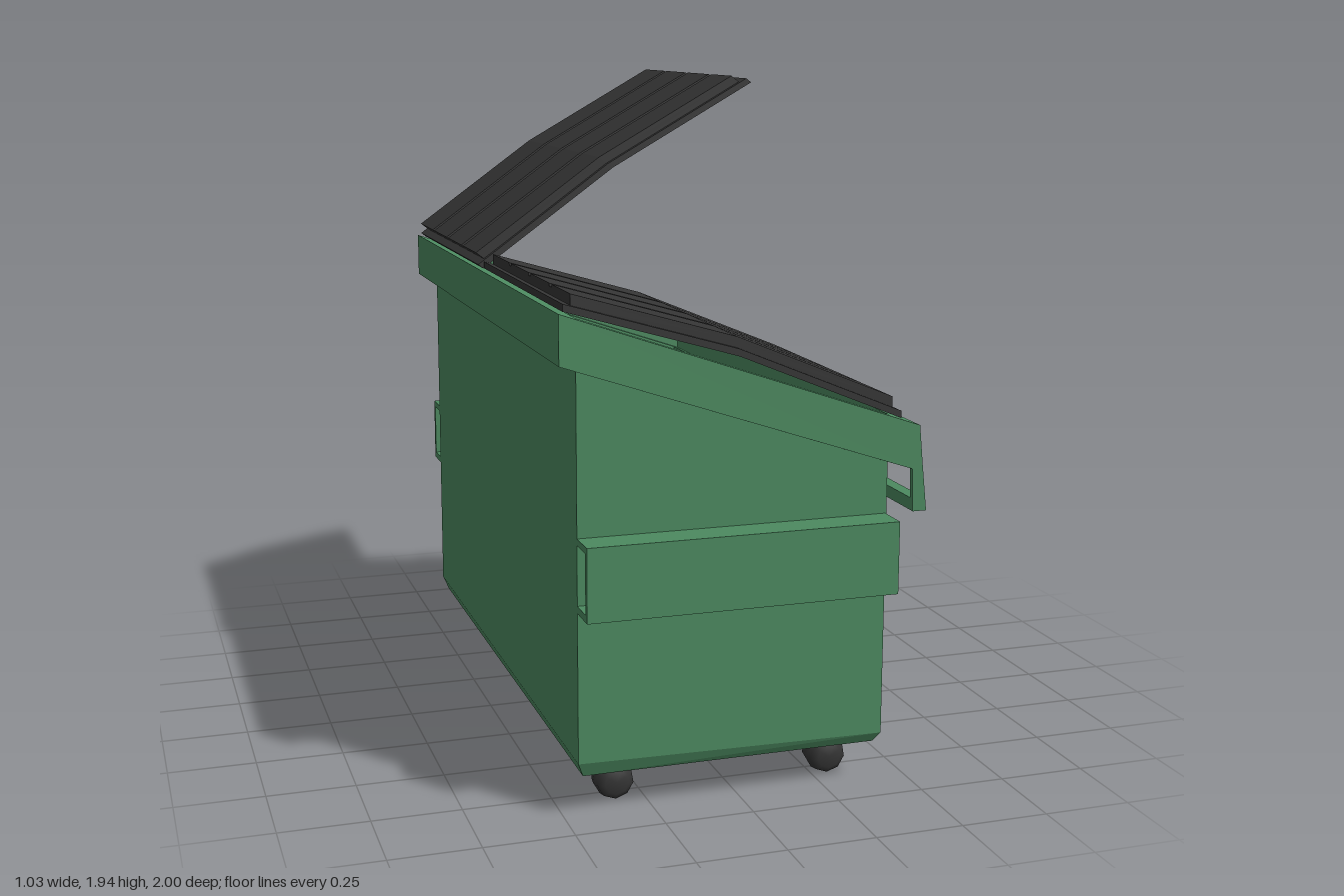
import * as THREE from 'three';

const green = new THREE.MeshStandardMaterial({ color: 0x4c8a60 });
green.name = 'green paint';
const dark = new THREE.MeshStandardMaterial({ color: 0x353535 });
dark.name = 'dark plastic';
const yellow = new THREE.MeshStandardMaterial({ color: 0x8c8a2c });
yellow.name = 'yellow stain';

function add(parent, name, geometry, material) {
  const mesh = new THREE.Mesh(geometry, material);
  mesh.name = name;
  parent.add(mesh);
  return mesh;
}

function box(parent, name, material, x0, x1, y0, y1, z0, z1) {
  const g = new THREE.BoxGeometry(x1 - x0, y1 - y0, z1 - z0);
  g.translate((x0 + x1) / 2, (y0 + y1) / 2, (z0 + z1) / 2);
  return add(parent, name, g, material);
}

const shapeOf = (pts) => new THREE.Shape(pts.map(([x, y]) => new THREE.Vector2(x, y)));

// Side profile (x, y) extruded from z0 to z1
function profile(pts, z0, z1) {
  const g = new THREE.ExtrudeGeometry(shapeOf(pts), { depth: z1 - z0, bevelEnabled: false });
  return g.translate(0, 0, z0);
}

// Rectangular wall ring whose bottom and top heights follow x
function wallRing(outer, inner, bottom, top, flare = 0) {
  const rect = ([x0, x1, z]) => [[x0, -z], [x1, -z], [x1, z], [x0, z]];
  const s = shapeOf(rect(outer));
  s.holes.push(shapeOf(rect(inner)));
  const g = new THREE.ExtrudeGeometry(s, { depth: 1, bevelEnabled: false });
  g.rotateX(-Math.PI / 2);
  const p = g.attributes.position;
  for (let i = 0; i < p.count; i++) {
    const x = p.getX(i), low = p.getY(i) < 0.5;
    p.setY(i, low ? bottom(x) : top(x));
    if (low && Math.abs(x - outer[1]) < 1e-4) p.setX(i, x + flare);
  }
  g.computeVertexNormals();
  return g;
}

// Thin patch on the +x wall, drawn as (-z, y)
function patch(pts) {
  const g = new THREE.ExtrudeGeometry(shapeOf(pts), { depth: 0.006, bevelEnabled: false });
  return g.rotateY(Math.PI / 2).translate(0.414, 0, 0);
}

// Bent strip following a path, between two vertical offsets
const strip = (path, lo, hi, z0, z1) => profile(
  [...path.map(([x, y]) => [x, y + lo]), ...path.map(([x, y]) => [x, y + hi]).reverse()], z0, z1);

const PIVOT = [-0.49, 1.395];

// Lid with a flange, four raised panels and ribs underneath
function makeLid(name) {
  const lid = new THREE.Group();
  lid.name = name;
  const flange = [[-0.5, 1.38], [-0.02, 1.24], [0.45, 1.045]];
  const deck = [[-0.475, 1.373], [-0.02, 1.24], [0.43, 1.053]];
  const put = (n, g) => add(lid, n, g.translate(-PIVOT[0], -PIVOT[1], 0), dark);
  put('lidFlange', strip(flange, 0, 0.02, 0.005, 0.91));
  put('lidDeck', strip(deck, 0.018, 0.042, 0.02, 0.893));
  const seams = [0.02, 0.24, 0.467, 0.695, 0.893];
  for (let i = 0; i < 4; i++) {
    const a = seams[i] + (i > 0 ? 0.012 : 0), b = seams[i + 1] - (i < 3 ? 0.012 : 0);
    put('lidPanel', strip(deck, 0.04, 0.05, a, b));
    if (i > 0) put('lidRib', strip(deck, -0.006, 0.002, seams[i] - 0.012, seams[i] + 0.012));
  }
  lid.position.set(PIVOT[0], PIVOT[1], 0);
  return lid;
}

export function createModel() {
  const model = new THREE.Group();
  model.name = 'dumpster';

  // Hollow body with a sloping top
  const rimTop = (x) => 1.38 - 0.3465 * (x + 0.52);
  const rimBottom = (x) => 1.245 - 0.343 * (x + 0.52);
  const bodyBase = (x) => 0.15 - 0.015 * x;
  add(model, 'bodyWalls', wallRing([-0.465, 0.415, 0.905], [-0.445, 0.395, 0.885],
    bodyBase, (x) => rimBottom(x) + 0.02), green);

  // Bevelled bottom
  const base = new THREE.BoxGeometry(0.88, 1, 1.81).translate(-0.025, 0, 0).toNonIndexed();
  const p = base.attributes.position;
  for (let i = 0; i < p.count; i++) {
    const x = p.getX(i), z = p.getZ(i);
    if (p.getY(i) > 0) p.setY(i, bodyBase(x));
    else p.setXYZ(i, x - Math.sign(x) * 0.017, 0.115, z - Math.sign(z) * 0.017);
  }
  base.computeVertexNormals();
  add(model, 'bodyBottom', base, green);

  // Sloping rim
  add(model, 'rim', wallRing([-0.52, 0.49, 0.945], [-0.465, 0.415, 0.905],
    rimBottom, rimTop, 0.013), green);

  // Lifting bar below the low edge of the rim
  add(model, 'liftBar', profile([[0.475, 0.79], [0.515, 0.79], [0.511, 0.825], [0.474, 0.825]],
    -0.93, 0.93), green);
  const bracket = [[0.475, 0.79], [0.515, 0.79], [0.502, 0.91], [0.47, 0.91]];
  for (const z of [-0.945, 0.93]) add(model, 'barBracket', profile(bracket, z, z + 0.015), green);

  // Fork pockets on both ends
  for (const s of [-1, 1]) {
    const pocket = new THREE.Group();
    pocket.name = s > 0 ? 'frontPocket' : 'backPocket';
    const zr = (a, b) => (s > 0 ? [a, b] : [-b, -a]);
    box(pocket, 'pocketTop', green, -0.465, 0.412, 0.762, 0.78, ...zr(0.9, 1));
    box(pocket, 'pocketBottom', green, -0.465, 0.412, 0.577, 0.597, ...zr(0.9, 1));
    box(pocket, 'pocketSide', green, -0.465, 0.412, 0.597, 0.762, ...zr(0.983, 1));
    box(pocket, 'pocketInside', dark, -0.03, -0.022, 0.597, 0.762, ...zr(0.905, 0.983));
    model.add(pocket);
  }

  // Wheels
  const tread = [[0, -0.047], [0.034, -0.047], [0.052, -0.032], [0.057, 0],
    [0.052, 0.032], [0.034, 0.047], [0, 0.047]];
  for (const x of [-0.335, 0.293]) for (const z of [-0.783, 0.783]) {
    const g = new THREE.LatheGeometry(tread.map(([r, y]) => new THREE.Vector2(r, y)), 9);
    add(model, 'wheel', g.rotateX(Math.PI / 2).translate(x, 0.058, z), dark);
  }

  // Lids, one shut and one raised
  model.add(makeLid('shutLid'));
  const raised = makeLid('raisedLid');
  raised.rotation.z = THREE.MathUtils.degToRad(52);
  raised.position.set(-0.505, PIVOT[1], -0.915);
  model.add(raised);

  // Lumpy rubbish, heaped in the back corner
  let rubbish = new THREE.PlaneGeometry(0.84, 1.77, 4, 8).rotateX(-Math.PI / 2).translate(-0.025, 0, 0);
  const q = rubbish.attributes.position;
  for (let i = 0; i < q.count; i++) {
    const x = q.getX(i), z = q.getZ(i);
    const heap = 0.14 * Math.exp(-(((x + 0.445) / 0.2) ** 2) - ((z + 0.885) / 0.3) ** 2);
    q.setY(i, 0.82 + heap + 0.03 * Math.sin(9 * x + 3) * Math.cos(7 * z));
  }
  rubbish = rubbish.toNonIndexed();
  rubbish.computeVertexNormals();
  add(model, 'rubbish', rubbish, dark);

  // Scrap and stain on the low wall
  add(model, 'scrap', patch([[0.31, 0.9], [0.365, 0.845], [0.415, 0.9]]), dark);
  add(model, 'stain', patch([[0.48, 0.91], [0.475, 0.84], [0.455, 0.83], [0.455, 0.765], [0.5, 0.755],
    [0.56, 0.758], [0.6, 0.748], [0.66, 0.742], [0.69, 0.755], [0.745, 0.755], [0.752, 0.79],
    [0.735, 0.83], [0.738, 0.91]]), yellow);

  return model;
}
